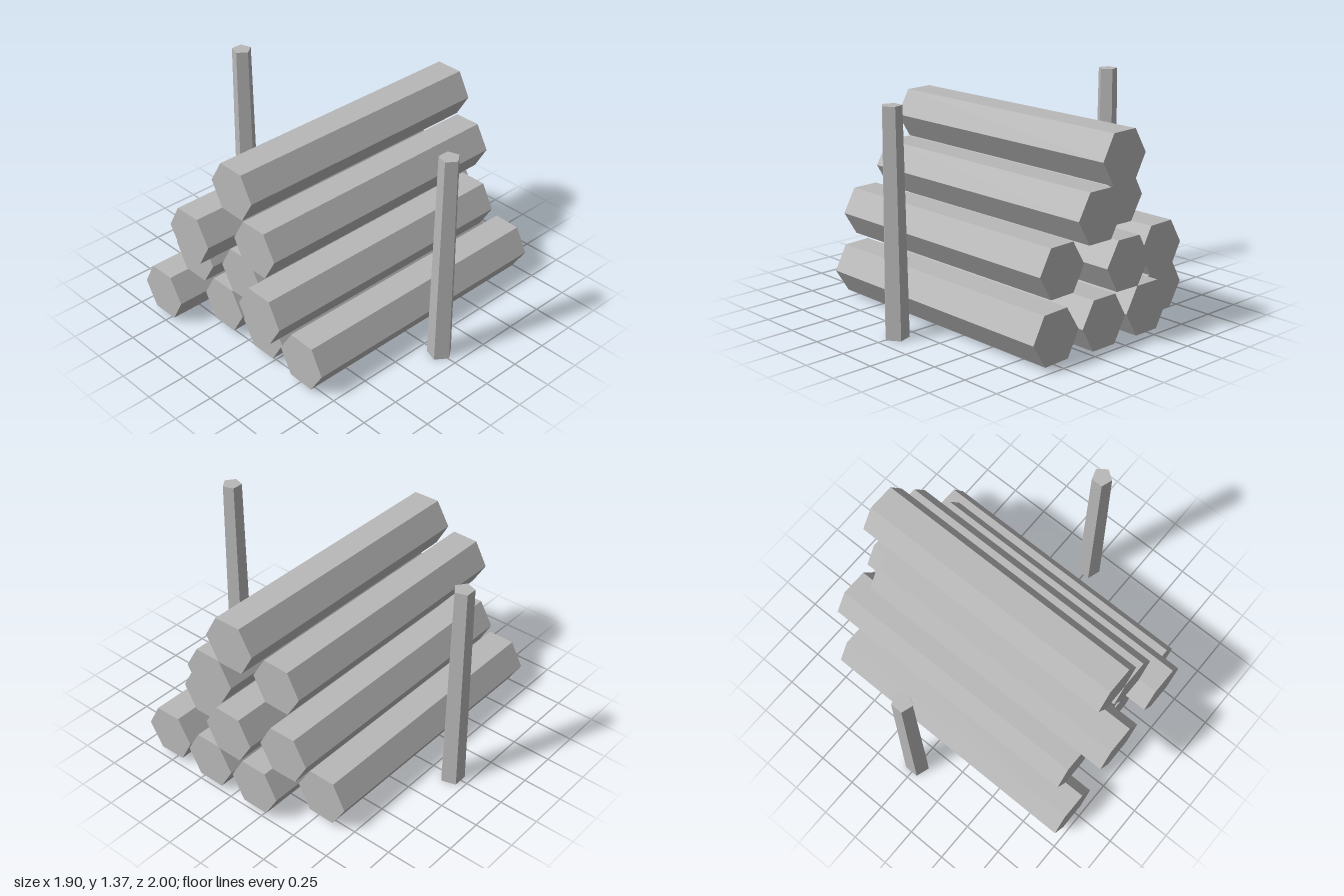
import * as THREE from 'three';

const timber = new THREE.MeshStandardMaterial({ color: 0xb8b8b8 });
timber.name = 'greyTimber';
timber.flatShading = true;

// Hexagonal logs: centre x, centre y, back z, front z, roll in degrees
const LOGS = [
  [-0.54, 0.18, -0.80, 0.97, 1],
  [-0.19, 0.18, -0.99, 0.78, 0],
  [0.17, 0.18, -0.99, 0.78, 0],
  [0.53, 0.18, -0.97, 0.80, -2],
  [-0.37, 0.49, -0.93, 0.84, -1],
  [-0.01, 0.49, -1.00, 0.78, 1],
  [0.345, 0.485, -0.83, 0.945, -1],
  [-0.19, 0.79, -0.78, 1.00, 1],
  [0.17, 0.79, -0.95, 0.82, 0],
  [-0.01, 1.095, -0.955, 0.82, -1],
];

function makeLog([x, y, back, front, roll]) {
  const geo = new THREE.CylinderGeometry(0.174, 0.174, front - back, 6, 1, false, Math.PI / 2);
  geo.rotateX(Math.PI / 2);
  const log = new THREE.Mesh(geo, timber);
  log.position.set(x, y, (front + back) / 2);
  log.rotation.z = THREE.MathUtils.degToRad(roll);
  return log;
}

// Tapered five-sided stake with one corner towards +x
function makeStake(x) {
  const height = 1.37;
  const geo = new THREE.CylinderGeometry(0.062, 0.077, height, 5, 1, false, Math.PI / 2);
  const stake = new THREE.Mesh(geo, timber);
  stake.position.set(x, height / 2, -0.005);
  return stake;
}

export function createModel() {
  const model = new THREE.Group();
  model.name = 'logPile';

  const stack = new THREE.Group();
  stack.name = 'logs';
  LOGS.forEach((spec, i) => {
    const log = makeLog(spec);
    log.name = `log${i + 1}`;
    stack.add(log);
  });
  model.add(stack);

  const rightStake = makeStake(-0.893);
  rightStake.name = 'rightStake';
  const leftStake = makeStake(0.87);
  leftStake.name = 'leftStake';
  model.add(rightStake, leftStake);
  return model;
}
